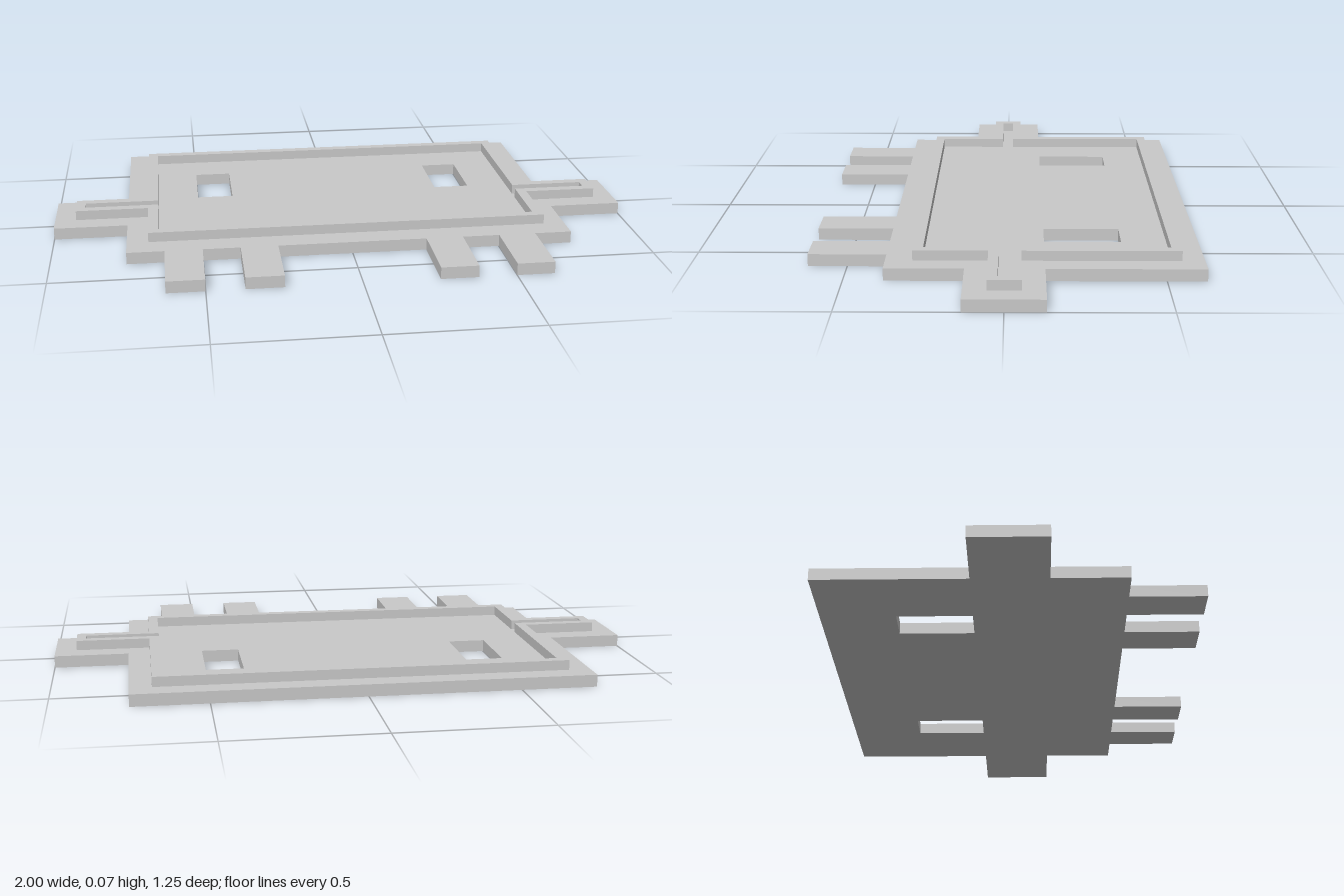
import * as THREE from 'three';

// Mirrors a half outline (x > 0, listed back to front as [x, z]) into a counter-clockwise loop
function mirroredLoop(half) {
  const left = half.map(([x, z]) => [-x, z]);
  return [...left, ...half.slice().reverse()].map(([x, z]) => new THREE.Vector2(x, -z));
}

// Body rectangle with a side arm, as a half outline
function bodyWithArm(bodyX, back, front, armX, armZ) {
  return [
    [bodyX, back], [bodyX, -armZ], [armX, -armZ],
    [armX, armZ], [bodyX, armZ], [bodyX, front],
  ];
}

// Extrudes a flat plan upwards from y = bottom
function slab(name, shape, bottom, height, material) {
  const geometry = new THREE.ExtrudeGeometry(shape, { depth: height, bevelEnabled: false });
  geometry.rotateX(-Math.PI / 2);
  geometry.translate(0, bottom, 0);
  const mesh = new THREE.Mesh(geometry, material);
  mesh.name = name;
  return mesh;
}

export function createModel() {
  const group = new THREE.Group();
  group.name = 'creaturePlate';
  const grey = new THREE.MeshStandardMaterial({ color: 0xc9c9c9 });
  grey.name = 'light grey';

  const baseHeight = 0.04;
  const rimHeight = 0.033;

  // Base plate with arms and four legs
  const baseHalf = bodyWithArm(0.75, -0.625, 0.375, 1, 0.125);
  for (const [outer, inner] of [[0.625, 0.5], [0.375, 0.25]]) {
    baseHalf.push([outer, 0.375], [outer, 0.625], [inner, 0.625], [inner, 0.375]);
  }
  const base = new THREE.Shape(mirroredLoop(baseHalf));

  // Eye openings
  for (const side of [-1, 1]) {
    base.holes.push(new THREE.Path(
      [[0.375, -0.375], [0.5, -0.375], [0.5, -0.125], [0.375, -0.125]]
        .map(([x, z]) => new THREE.Vector2(side * x, -z)),
    ));
  }
  group.add(slab('basePlate', base, 0, baseHeight, grey));

  // Raised rim following the body and arms
  const rim = new THREE.Shape(mirroredLoop(bodyWithArm(0.678, -0.553, 0.289, 0.928, 0.052)));
  rim.holes.push(new THREE.Path(mirroredLoop(bodyWithArm(0.644, -0.521, 0.257, 0.896, 0.02))));
  group.add(slab('raisedRim', rim, baseHeight, rimHeight, grey));

  return group;
}
